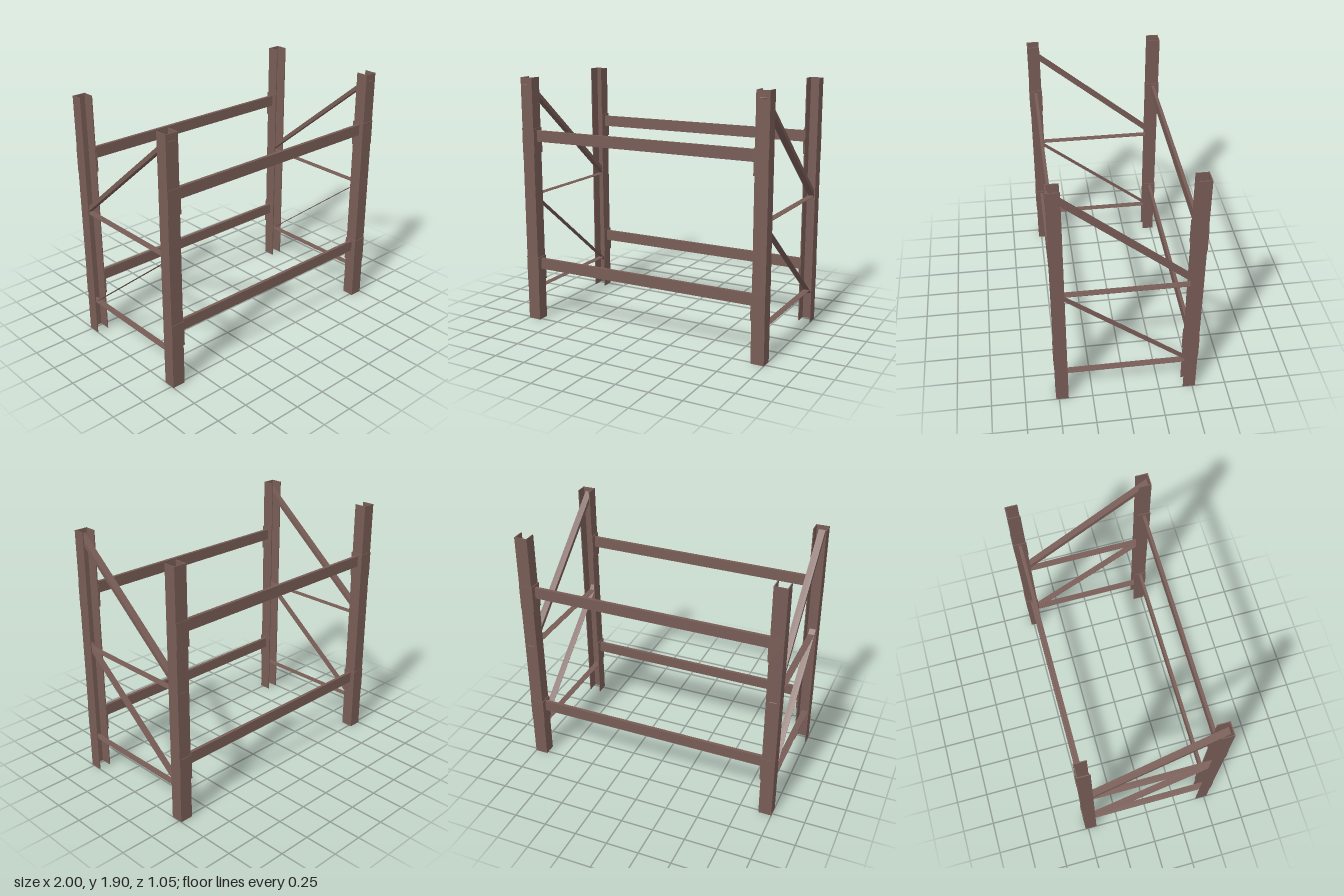
import * as THREE from 'three';

const steel = new THREE.MeshStandardMaterial({ color: 0x785c56 });
steel.name = 'brownSteel';

const HEIGHT = 1.9, POST_X = 0.95, WEB_Z = 0.522, LIP_Z = 0.43, WALL = 0.007;

function box(name, parent, w, h, d, x, y, z) {
  const mesh = new THREE.Mesh(new THREE.BoxGeometry(w, h, d), steel);
  mesh.name = name;
  mesh.position.set(x, y, z);
  parent.add(mesh);
  return mesh;
}

// U-shaped channel, open towards the middle of the rack
function channelPost(sx, sz) {
  const s = new THREE.Shape();
  const h = 0.05, a = WEB_Z, b = LIP_Z, t = WALL;
  const points = [[-h, b], [-h, a], [h, a], [h, b], [h - t, b], [h - t, a - t], [-h + t, a - t], [-h + t, b]];
  s.setFromPoints(points.map(([x, z]) => new THREE.Vector2(sx * POST_X + x, -sz * z)));
  const geo = new THREE.ExtrudeGeometry(s, { depth: HEIGHT, bevelEnabled: false });
  geo.rotateX(-Math.PI / 2);
  const mesh = new THREE.Mesh(geo, steel);
  mesh.name = 'post';
  return mesh;
}

// Flat bar running from the front post to the back post
function brace(name, parent, x, yFront, yBack, thickness) {
  const dz = 1.03, dy = yFront - yBack;
  const bar = box(name, parent, 0.05, thickness, Math.hypot(dz, dy), x, (yFront + yBack) / 2, 0);
  bar.rotation.x = -Math.atan2(dy, dz);
}

export function createModel() {
  const rack = new THREE.Group();
  rack.name = 'storageRack';

  for (const sx of [-1, 1]) {
    const frame = new THREE.Group();
    frame.name = sx > 0 ? 'leftFrame' : 'rightFrame';
    rack.add(frame);

    for (const sz of [-1, 1]) {
      frame.add(channelPost(sx, sz));
      // Angle brackets holding the beam ends
      for (const y of [0.415, 1.425]) {
        box('bracketFace', frame, 0.1, 0.19, 0.004, sx * 0.95, y, sz * 0.524);
        box('bracketSide', frame, 0.008, 0.19, 0.1, sx * 0.897, y, sz * 0.476);
      }
    }

    // Bracing inside the end frame
    brace('upperDiagonalBrace', frame, sx * POST_X, 1.86, 1.0, 0.03);
    brace('middleBrace', frame, sx * POST_X, 1.0, 1.0, 0.003);
    brace('lowerDiagonalBrace', frame, sx * POST_X, 1.03, 0.21, 0.003);
    brace('bottomBrace', frame, sx * POST_X, 0.25, 0.25, 0.003);
  }

  // Long beams at the front and back
  for (const sz of [-1, 1]) {
    for (const y of [0.455, 1.46]) box('beam', rack, 1.79, 0.085, 0.024, 0, y, sz * 0.477);
  }
  return rack;
}
